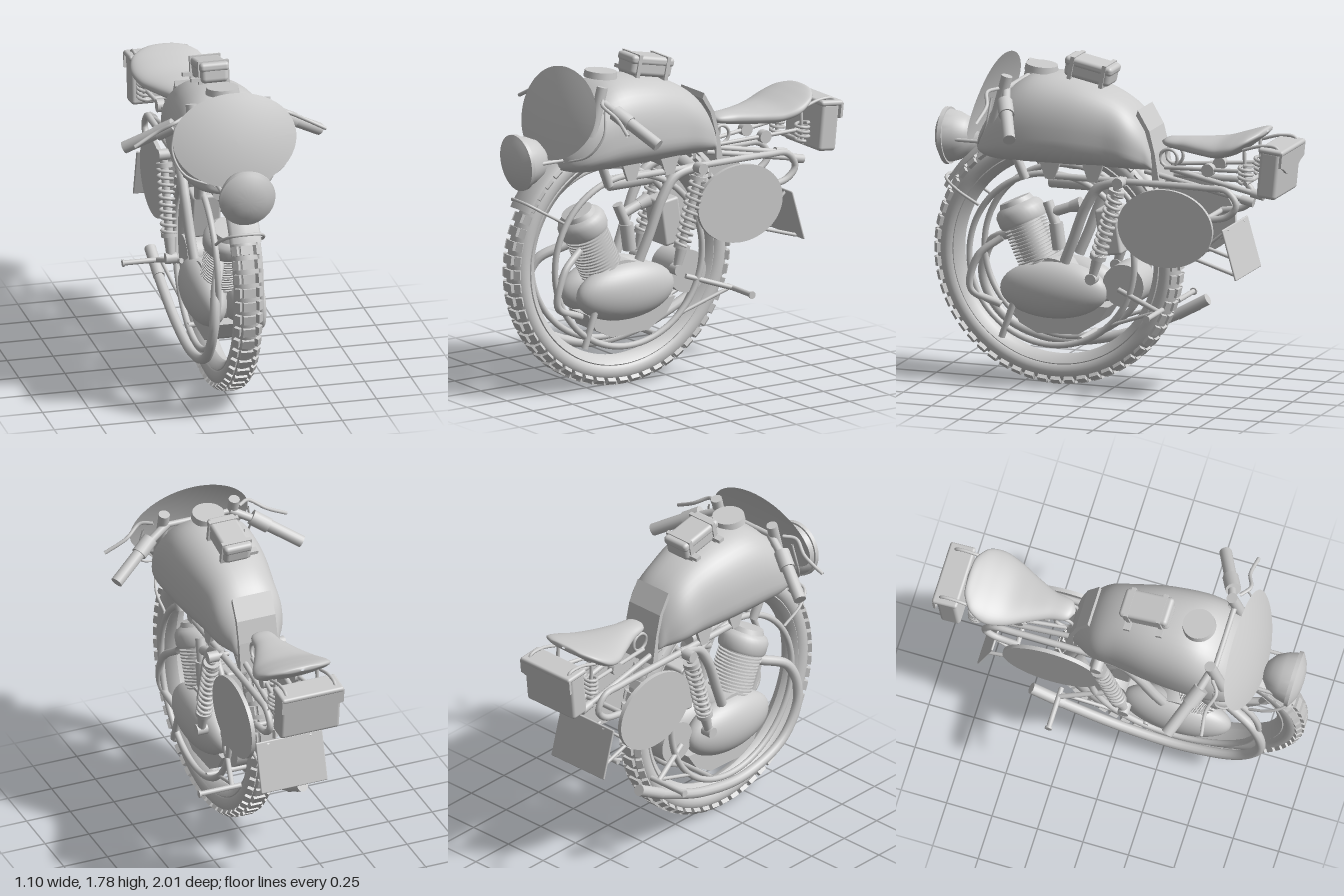
import * as THREE from 'three';
import { mergeGeometries, toCreasedNormals } from 'three/addons/utils/BufferGeometryUtils.js';
import { RoundedBoxGeometry } from 'three/addons/geometries/RoundedBoxGeometry.js';

const V = (x, y, z) => new THREE.Vector3(x, y, z);
const V2 = (x, y) => new THREE.Vector2(x, y);
const UP = V(0, 1, 0);
const WY = 0.69, WZ = 0.31; // wheel centre

export function createModel() {
  const root = new THREE.Group();
  const mat = new THREE.MeshStandardMaterial({ color: 0xcccccc });
  const thin = new THREE.MeshStandardMaterial({ color: 0xcccccc, side: THREE.DoubleSide });

  const add = (name, geo, p = [0, 0, 0], parent = root, m = mat) => {
    const mesh = new THREE.Mesh(geo, m);
    mesh.name = name;
    mesh.position.set(...p);
    parent.add(mesh);
    return mesh;
  };
  const rod = (name, a, b, r, r2 = r, parent = root) => {
    const A = V(...a), B = V(...b), d = B.clone().sub(A);
    const mesh = add(name, new THREE.CylinderGeometry(r2, r, d.length(), 16), A.clone().add(B).multiplyScalar(0.5).toArray(), parent);
    mesh.quaternion.setFromUnitVectors(UP, d.normalize());
    return mesh;
  };
  const tube = (name, pts, r, seg = 48, closed = false) =>
    add(name, new THREE.TubeGeometry(new THREE.CatmullRomCurve3(pts.map(p => V(...p)), closed), seg, r, 10, closed), undefined, root, thin);
  // ring spun around the wheel axle from a closed [radius, x] section
  const spin = (pts, start = 0, len = Math.PI * 2) =>
    new THREE.LatheGeometry(pts, 96, start, len).rotateZ(Math.PI / 2);
  // side profile of [z, y] points, extruded across x
  const slab = (pts, w) => new THREE.ExtrudeGeometry(new THREE.Shape(pts.map(p => V2(...p))), { depth: w, bevelEnabled: false })
    .translate(0, 0, -w / 2).rotateY(-Math.PI / 2);
  // smooth body through sections [z, bottom, top, half width], running backwards
  const loft = (keys, low, expo, steps = 60, n = 48) => {
    const c1 = new THREE.CatmullRomCurve3(keys.map(k => V(k[0], k[1], k[2])));
    const c2 = new THREE.CatmullRomCurve3(keys.map(k => V(k[0], k[3], 0)));
    const pos = [], idx = [];
    const pw = v => Math.sign(v) * Math.abs(v) ** (2 / expo);
    for (let i = 0; i <= steps; i++) {
      const s = c1.getPoint(i / steps), w = c2.getPoint(i / steps).y, h = s.z - s.y, yc = s.y + h * low;
      for (let j = 0; j < n; j++) {
        const a = j / n * Math.PI * 2, sy = pw(Math.sin(a));
        pos.push(w * pw(Math.cos(a)), yc + sy * h * (sy > 0 ? 1 - low : low), s.x);
        if (i < steps) {
          const p = i * n + j, q = i * n + (j + 1) % n;
          idx.push(p, p + n, q, q, p + n, q + n);
        }
      }
    }
    const g = new THREE.BufferGeometry();
    g.setAttribute('position', new THREE.Float32BufferAttribute(pos, 3));
    g.setIndex(idx);
    g.computeVertexNormals();
    return g;
  };

  // Hubless wheel: tyre, tread, rim
  const section = Array.from({ length: 25 }, (_, i) => {
    const a = -Math.PI + i / 24 * Math.PI * 2;
    return V2(0.618 + 0.06 * Math.cos(a), 0.07 * Math.sin(a));
  });
  add('tyre', spin(section), [0, WY, WZ]);
  const blocks = [];
  for (let i = 0; i < 56; i++) {
    const t = i / 56 * Math.PI * 2;
    const block = (w, h, d, x, r, tilt) => blocks.push(new THREE.BoxGeometry(w, h, d).rotateZ(tilt).translate(x, r, 0).rotateX(t));
    block(0.066, 0.03, 0.048, 0, 0.675, 0);
    for (const s of [1, -1]) block(0.034, 0.036, 0.05, s * 0.053, 0.658, -s * 0.75);
  }
  add('treadBlocks', mergeGeometries(blocks), [0, WY, WZ]);
  const rim = [[0.54, -0.03], [0.575, -0.058], [0.585, -0.05], [0.585, 0.05], [0.575, 0.058], [0.54, 0.03], [0.53, 0], [0.54, -0.03]];
  add('rim', toCreasedNormals(spin(rim.map(p => V2(...p))), 0.6), [0, WY, WZ]);

  // Mudguard arc over the top with its front stay
  const guard = new THREE.LatheGeometry([[0.685, -0.085], [0.71, -0.07], [0.722, 0], [0.71, 0.07], [0.685, 0.085]].map(p => V2(...p)), 60, 0.5, 1.95)
    .rotateZ(Math.PI / 2).rotateY(0);
  add('mudguard', guard, [0, WY, WZ], root, thin);
  tube('mudguardStay', [[-0.115, 0.95, 0.72], [-0.115, 1.02, 0.84], [-0.07, 1.07, 0.92], [0.07, 1.07, 0.92], [0.115, 1.02, 0.84], [0.115, 0.95, 0.72]], 0.008);

  // Fuel tank, cap and rear apron
  add('fuelTank', loft([[0.73, 1.27, 1.29, 0.02], [0.72, 1.235, 1.35, 0.14], [0.66, 1.21, 1.46, 0.21], [0.57, 1.2, 1.58, 0.25],
    [0.42, 1.2, 1.67, 0.265], [0.2, 1.2, 1.665, 0.25], [0, 1.2, 1.605, 0.215], [-0.13, 1.2, 1.52, 0.195],
    [-0.21, 1.2, 1.41, 0.145], [-0.25, 1.2, 1.29, 0.11], [-0.26, 1.22, 1.24, 0.02]], 0.35, 2.5));
  const cap = add('fuelCap', new THREE.CylinderGeometry(0.085, 0.09, 0.035, 32), [0, 1.695, 0.41]);
  cap.rotation.x = -0.1;
  add('tankApron', slab([[-0.16, 1.5], [-0.21, 1.42], [-0.245, 1.3], [-0.25, 1.14], [-0.29, 1.14], [-0.265, 1.3], [-0.235, 1.42], [-0.17, 1.53]], 0.22));

  // Bag on the tank
  const bag = new THREE.Group();
  bag.name = 'tankBag';
  bag.position.set(0, 1.7, 0.13);
  bag.rotation.x = -0.2;
  root.add(bag);
  add('tankBagBody', new RoundedBoxGeometry(0.15, 0.1, 0.26, 4, 0.025), [0, 0, 0], bag);
  add('tankBagLid', new RoundedBoxGeometry(0.16, 0.05, 0.27, 4, 0.02), [0, 0.035, 0], bag);
  for (const z of [-0.09, 0.09]) {
    add('tankBagStrap', new THREE.BoxGeometry(0.168, 0.125, 0.022), [0, 0.003, z], bag);
    add('tankBagBuckle', new THREE.BoxGeometry(0.05, 0.02, 0.035), [-0.1, -0.03, z], bag);
  }

  // Oval windscreen, bowed backwards
  const screen = new THREE.RingGeometry(0.001, 1, 64, 10), sp = screen.attributes.position;
  for (let i = 0; i < sp.count; i++) {
    const u = sp.getX(i), v = sp.getY(i);
    sp.setXYZ(i, u * 0.335, 1.52 + v * 0.235, 0.72 - 0.082 * v - 0.05 * u * u - 0.025 * v * v);
  }
  screen.computeVertexNormals();
  add('windscreen', screen, undefined, root, thin);

  // Headlight bowl, rim and lens in one profile
  const lamp = [[0, -0.165], [0.05, -0.155], [0.1, -0.115], [0.128, -0.06], [0.14, -0.01], [0.15, -0.01], [0.152, 0.012], [0.138, 0.02], [0.1, 0.042], [0.05, 0.054], [0, 0.057]];
  const light = add('headlight', toCreasedNormals(new THREE.LatheGeometry(lamp.map(p => V2(...p)), 48).rotateX(Math.PI / 2), 0.7), [0, 1.285, 0.93]);
  light.rotation.x = 0.07;

  // Seat with rear sprung bag
  add('seat', loft([[-0.27, 1.345, 1.355, 0.01], [-0.3, 1.33, 1.375, 0.055], [-0.4, 1.31, 1.385, 0.08], [-0.52, 1.3, 1.39, 0.135],
    [-0.62, 1.3, 1.4, 0.185], [-0.72, 1.33, 1.43, 0.208], [-0.8, 1.39, 1.455, 0.18], [-0.85, 1.43, 1.465, 0.1], [-0.86, 1.445, 1.455, 0.01]], 0.45, 2.2));
  const rear = new THREE.Group();
  rear.name = 'rearBag';
  rear.position.set(0, 1.25, -0.92);
  rear.rotation.x = -0.1;
  root.add(rear);
  add('rearBagBody', new RoundedBoxGeometry(0.34, 0.26, 0.11, 4, 0.02), [0, 0, 0], rear);
  add('rearBagLid', new RoundedBoxGeometry(0.355, 0.03, 0.14, 4, 0.014), [0, 0.128, -0.006], rear);
  const flap = new THREE.Shape([V2(-0.177, 0.13), V2(-0.177, 0.05)]);
  flap.bezierCurveTo(-0.1, 0.04, -0.09, -0.01, 0, -0.01);
  flap.bezierCurveTo(0.09, -0.01, 0.1, 0.04, 0.177, 0.05);
  flap.lineTo(0.177, 0.13);
  add('rearBagFlap', new THREE.ExtrudeGeometry(flap, { depth: 0.014, bevelEnabled: false }), [0, 0, -0.073], rear);

  // Number plate
  const plate = add('rearPlate', new RoundedBoxGeometry(0.38, 0.28, 0.012, 3, 0.006), [0, 0.805, -0.71]);
  plate.rotation.x = 0.28;

  // Engine: crankcase, sump, tilted finned cylinder
  add('crankcase', new THREE.CylinderGeometry(0.17, 0.17, 0.2, 32).rotateZ(Math.PI / 2), [0, 0.52, 0.33]);
  add('gearbox', new THREE.CylinderGeometry(0.115, 0.115, 0.18, 28).rotateZ(Math.PI / 2), [0, 0.57, -0.08]);
  add('sump', slab([[0.55, 0.42], [0.5, 0.33], [0.4, 0.28], [0.17, 0.29], [0.06, 0.36], [0, 0.45]], 0.19));
  const barrel = new THREE.Group();
  barrel.name = 'cylinder';
  barrel.position.set(0, 0.62, 0.4);
  barrel.rotation.x = 0.43;
  root.add(barrel);
  add('cylinderCore', new THREE.CylinderGeometry(0.085, 0.085, 0.28, 24), [0, 0.12, 0], barrel);
  for (let i = 0; i < 14; i++) add('coolingFin', new THREE.CylinderGeometry(0.118, 0.118, 0.008, 32), [0, 0.02 + i * 0.018, 0], barrel);
  const head = [[0, 0.255], [0.125, 0.255], [0.132, 0.27], [0.132, 0.32], [0.12, 0.345], [0.095, 0.36], [0.085, 0.385], [0, 0.39]];
  add('cylinderHead', toCreasedNormals(new THREE.LatheGeometry(head.map(p => V2(...p)), 32), 0.6), [0, 0, 0], barrel);
  rod('carburettor', [0.07, 0.93, 0.33], [0.07, 0.99, 0.17], 0.027);
  rod('airFunnel', [0.07, 0.97, 0.22], [0.07, 0.99, 0.16], 0.03, 0.04);
  rod('oilFilter', [0.08, 0.74, 0.28], [0.08, 0.88, 0.3], 0.037);
  rod('intakeStem', [0.08, 0.87, 0.3], [0.07, 0.99, 0.35], 0.028);
  const battery = add('battery', new RoundedBoxGeometry(0.16, 0.25, 0.12, 3, 0.015), [0, 0.85, 0.01]);
  battery.rotation.x = 0.15;
  rod('toolRoll', [0, 1.09, 0.36], [0, 1.09, 0.1], 0.04);

  // Exhaust sweeping under the engine on one side
  tube('exhaust', [[-0.06, 0.78, 0.58], [-0.12, 0.7, 0.74], [-0.145, 0.5, 0.79], [-0.15, 0.3, 0.67], [-0.15, 0.2, 0.38], [-0.155, 0.24, 0.05], [-0.165, 0.36, -0.25], [-0.17, 0.44, -0.41]], 0.027, 80);
  rod('exhaustTip', [-0.165, 0.38, -0.29], [-0.17, 0.475, -0.46], 0.031);
  rod('kickLever', [0.12, 0.45, 0.52], [0.12, 0.25, 0.59], 0.018);
  tube('downPipe', [[0.09, 0.78, 0.6], [0.125, 0.68, 0.72], [0.125, 0.5, 0.76], [0.1, 0.42, 0.6]], 0.02);

  // Coil spring geometry shared by shocks and seat
  const coil = (turns, r, h, wire) => new THREE.TubeGeometry(new THREE.CatmullRomCurve3(Array.from({ length: turns * 12 + 1 }, (_, i) =>
    V(r * Math.cos(i * Math.PI / 6), (i / (turns * 12) - 0.5) * h, r * Math.sin(i * Math.PI / 6)))), turns * 18, wire, 6);

  // Mirrored parts
  for (const s of [1, -1]) {
    const X = x => s * x;
    add('engineCover', new THREE.SphereGeometry(1, 40, 24).scale(0.11, 0.155, 0.3), [X(0.082), 0.52, WZ]).rotation.x = 0.03;
    add('frameHoop', new THREE.TorusGeometry(0.463, 0.017, 10, 80).rotateY(Math.PI / 2), [X(0.115), WY, WZ]);
    tube('frameTube', [[X(0.11), 0.68, 0.24], [X(0.12), 0.8, 0.19], [X(0.13), 1, 0.11], [X(0.13), 1.11, 0.03], [X(0.13), 1.145, -0.1]], 0.028);
    tube('rearLoop', [[X(0.13), 1.145, 0.3], [X(0.13), 1.145, -0.1], [X(0.13), 1.145, -0.55], [X(0.13), 1.135, -0.68], [X(0.13), 1.06, -0.73], [X(0.13), 1, -0.68], [X(0.13), 0.97, -0.55]], 0.018, 64);
    rod('seatRail', [X(0.08), 1.2, -0.2], [X(0.08), 1.08, -0.79], 0.015);
    rod('seatRailEnd', [X(0.08), 1.09, -0.74], [X(0.08), 1.075, -0.81], 0.024);
    for (const z of [0.31, 0.07]) add('tankBracket', slab([[z + 0.06, 1.23], [z + 0.025, 1.13], [z - 0.025, 1.13], [z - 0.06, 1.23]], 0.02), [X(0.14), 0, 0]);

    // Oval side panel and plate stays
    add('sidePanel', new THREE.CylinderGeometry(1, 1, 1, 64).rotateZ(Math.PI / 2).scale(0.022, 0.21, 0.265), [X(0.175), 0.92, -0.35]);
    rod('plateStayLow', [X(0.12), 0.77, -0.45], [X(0.12), 0.68, -0.74], 0.01);
    rod('plateStayHigh', [X(0.12), 0.82, -0.55], [X(0.12), 0.93, -0.68], 0.008);

    // Shock absorber
    const shock = new THREE.Group();
    shock.name = 'shockAbsorber';
    shock.position.set(X(0.19), 0.89, -0.02);
    shock.quaternion.setFromUnitVectors(UP, V(0, 0.56, -0.16).normalize());
    root.add(shock);
    add('shockSpring', coil(10, 0.037, 0.36, 0.0095), [0, 0.03, 0], shock);
    rod('shockBody', [0, -0.27, 0], [0, 0.24, 0], 0.022, 0.022, shock);
    rod('shockLowerSleeve', [0, -0.27, 0], [0, -0.14, 0], 0.022, 0.033, shock);
    for (const y of [-0.155, 0.215]) rod('springSeat', [0, y - 0.012, 0], [0, y + 0.012, 0], 0.044, 0.044, shock);
    for (const y of [-0.28, 0.27]) add('shockEye', new THREE.CylinderGeometry(0.03, 0.03, 0.06, 20).rotateZ(Math.PI / 2), [0, y, 0], shock);
    rod('shockMount', [X(0.1), 1.15, -0.095], [X(0.22), 1.15, -0.095], 0.014);

    // Foot peg
    rod('pegArm', [X(0.1), 0.55, -0.06], [X(0.17), 0.465, -0.31], 0.014);
    rod('footPeg', [X(0.12), 0.465, -0.31], [X(0.35), 0.465, -0.31], 0.014);
    rod('pegEnd', [X(0.35), 0.465, -0.31], [X(0.36), 0.465, -0.31], 0.02);
    rod('pegBrace', [X(0.12), 0.36, -0.02], [X(0.15), 0.465, -0.31], 0.01);

    // Handlebar, grip, lever, fork leg and cable
    rod('forkLeg', [X(0.2), 1.42, 0.6], [X(0.2), 1.68, 0.53], 0.03);
    rod('handlebar', [X(0.18), 1.61, 0.54], [X(0.34), 1.53, 0.485], 0.022);
    rod('gripCollar', [X(0.29), 1.56, 0.51], [X(0.37), 1.51, 0.47], 0.042);
    rod('grip', [X(0.35), 1.525, 0.48], [X(0.53), 1.415, 0.395], 0.033);
    tube('lever', [[X(0.25), 1.62, 0.56], [X(0.31), 1.61, 0.6], [X(0.4), 1.555, 0.57], [X(0.52), 1.49, 0.58]], 0.01, 24);
    tube('cable', [[X(0.3), 1.58, 0.58], [X(0.32), 1.45, 0.6], [X(0.27), 1.34, 0.66], [X(0.12), 1.28, 0.72]], 0.006, 32);
    rod('headlightBracket', [X(0.11), 1.29, 0.6], [X(0.11), 1.29, 0.9], 0.01);
    rod('forkStub', [X(0.14), 1.12, 0.45], [X(0.15), 1.24, 0.5], 0.025);

    // Seat springing
    add('seatSpring', coil(4, 0.035, 0.1, 0.009), [X(0.12), 1.24, -0.78]);
    rod('springPost', [X(0.12), 1.18, -0.78], [X(0.12), 1.4, -0.77], 0.01);
    add('seatCoil', new THREE.TorusGeometry(0.048, 0.009, 8, 32).rotateY(Math.PI / 2), [X(0.045), 1.27, -0.32]);
    rod('seatFrame', [X(0.05), 1.22, -0.3], [X(0.12), 1.25, -0.78], 0.011);
    add('seatPivot', new THREE.CylinderGeometry(0.035, 0.035, 0.04, 20).rotateZ(Math.PI / 2), [X(0.09), 1.235, -0.56]);
    tube('bagHanger', [[X(0.14), 1.37, -0.77], [X(0.14), 1.4, -0.88], [X(0.14), 1.395, -0.96], [X(0.14), 1.35, -0.985]], 0.009, 24);
  }
  rod('rearCrossbar', [-0.13, 0.97, -0.55], [0.13, 0.97, -0.55], 0.014);
  rod('seatCrossbar', [-0.13, 1.185, -0.78], [0.13, 1.185, -0.78], 0.012);
  rod('lowerBrace', [-0.12, 0.27, 0.15], [0.12, 0.27, 0.15], 0.015);
  rod('handlebarYoke', [-0.2, 1.6, 0.55], [0.2, 1.6, 0.55], 0.015);
  return root;
}
